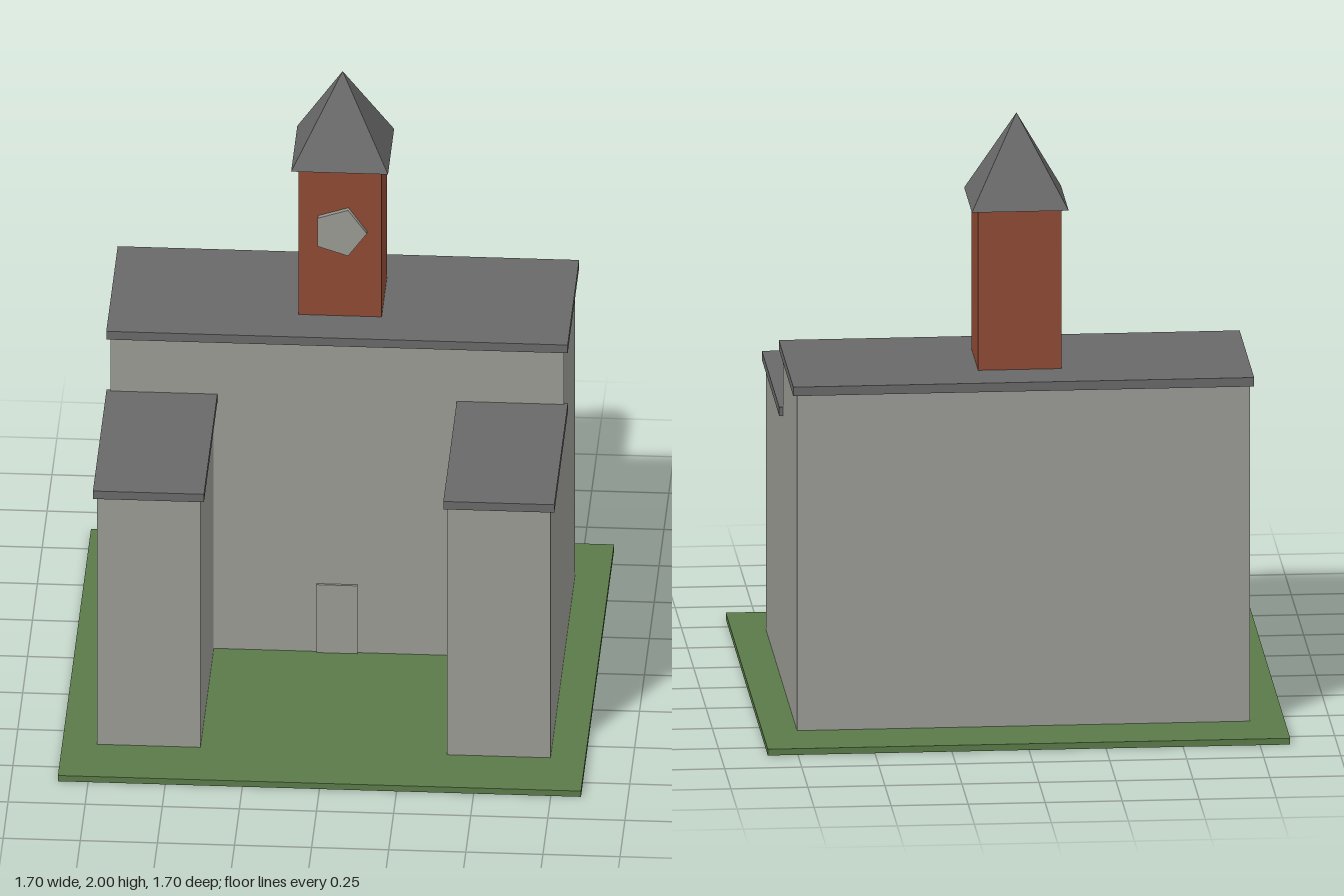
import * as THREE from 'three';

const material = (name, color) => {
  const m = new THREE.MeshStandardMaterial({ color });
  m.name = name;
  return m;
};

export function createModel() {
  const model = new THREE.Group();
  model.name = 'clockTowerBuilding';

  const grass = material('grass', 0x5a7a48);
  const stone = material('stone', 0x9a9a94);
  const slate = material('slate', 0x696969);
  const brick = material('brick', 0x8f4a34);

  const add = (name, geometry, mat, x, y, z) => {
    const mesh = new THREE.Mesh(geometry, mat);
    mesh.name = name;
    mesh.position.set(x, y, z);
    model.add(mesh);
    return mesh;
  };

  // Box given by its extents along each axis
  const box = (name, mat, [x0, x1], [y0, y1], [z0, z1]) =>
    add(name, new THREE.BoxGeometry(x1 - x0, y1 - y0, z1 - z0), mat,
      (x0 + x1) / 2, (y0 + y1) / 2, (z0 + z1) / 2);

  box('lawn', grass, [-0.848, 0.848], [0, 0.021], [-0.848, 0.848]);

  // Main block with its overhanging flat roof and entrance
  box('mainBlock', stone, [-0.735, 0.735], [0.021, 1.145], [-0.626, -0.055]);
  box('mainRoof', slate, [-0.748, 0.748], [1.145, 1.175], [-0.635, -0.05]);
  box('door', stone, [-0.067, 0.067], [0.021, 0.27], [-0.055, -0.047]);

  // Lower wings reaching forward on both sides
  for (const [side, s] of [['left', 1], ['right', -1]]) {
    const span = (a, b) => (s > 0 ? [a, b] : [-b, -a]);
    box(side + 'Wing', stone, span(0.4, 0.735), [0.021, 0.925], [-0.055, 0.626]);
    box(side + 'WingRoof', slate, span(0.388, 0.748), [0.925, 0.954], [-0.065, 0.634]);
  }

  // Brick tower with a pyramid roof
  box('tower', brick, [-0.135, 0.135], [1.175, 1.71], [-0.475, -0.205]);
  const spire = new THREE.ConeGeometry(0.157 * Math.SQRT2, 0.29, 4).toNonIndexed();
  spire.rotateY(Math.PI / 4);
  spire.computeVertexNormals();
  add('towerRoof', spire, slate, 0, 1.855, -0.34);

  // Five-sided clock face with one corner pointing to +x
  const clock = new THREE.CylinderGeometry(0.088, 0.088, 0.018, 5, 1, false, Math.PI / 2);
  clock.rotateX(Math.PI / 2);
  add('clockFace', clock, stone, 0, 1.488, -0.196);

  return model;
}
